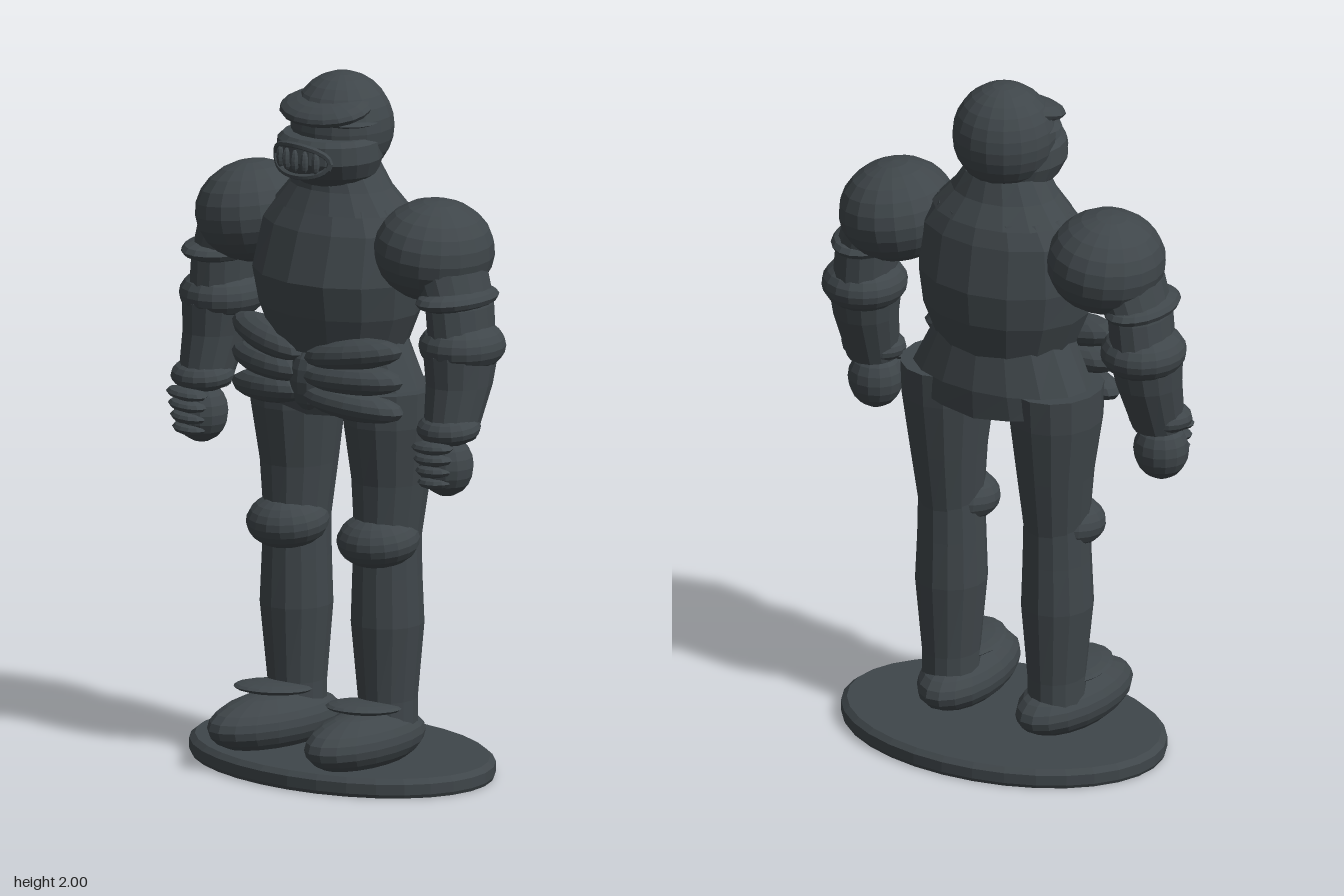
import * as THREE from 'three';

const material = new THREE.MeshStandardMaterial({ color: 0x3f464a, flatShading: true });

function add(parent, name, geometry, position = [0, 0, 0], rotation = [0, 0, 0]) {
  const mesh = new THREE.Mesh(geometry, material);
  mesh.name = name;
  mesh.position.set(...position);
  mesh.rotation.set(...rotation);
  parent.add(mesh);
  return mesh;
}

const ball = (rx, ry, rz, w = 18, h = 12) => new THREE.SphereGeometry(1, w, h).scale(rx, ry, rz);

// Closed body through elliptical rings, listed top to bottom as [y, centreX, centreZ, radiusX, radiusZ].
function loft(rings, sides) {
  const g = new THREE.CylinderGeometry(1, 1, 1, sides, rings.length - 1);
  const p = g.attributes.position;
  for (let i = 0; i < p.count; i++) {
    const [y, cx, cz, rx, rz] = rings[Math.round((0.5 - p.getY(i)) * (rings.length - 1))];
    p.setXYZ(i, cx + p.getX(i) * rx, y, cz + p.getZ(i) * rz);
  }
  g.computeVertexNormals();
  return g;
}

function buildTorso(root) {
  const torso = new THREE.Group();
  torso.name = 'torso';
  root.add(torso);
  add(torso, 'collar', loft([[1.74, 0, 0.01, 0.12, 0.11], [1.68, 0, 0.005, 0.16, 0.125], [1.62, 0, 0, 0.215, 0.16]], 16));
  add(torso, 'breastplate', loft([
    [1.635, 0, 0, 0.2, 0.15], [1.57, 0, 0.005, 0.25, 0.18], [1.43, 0, 0.015, 0.265, 0.215],
    [1.33, 0, 0.01, 0.25, 0.2], [1.22, 0, 0.01, 0.205, 0.165],
  ], 14));
  // Hip skirt whose hem dips at the middle
  const skirt = loft([[1.25, 0, 0, 0.21, 0.15], [1.12, 0, -0.01, 0.275, 0.165], [1.03, 0, -0.01, 0.295, 0.16]], 16);
  const p = skirt.attributes.position;
  for (let i = 0; i < p.count; i++) {
    if (p.getY(i) < 1.05) p.setY(i, 1.035 + 0.1 * Math.abs(p.getX(i)));
  }
  add(torso, 'hipSkirt', skirt);
  // Three overlapping hip plates on each side, meeting at the buckle
  for (const s of [1, -1]) {
    [[1.232, 0.16], [1.16, 0.04], [1.088, -0.08]].forEach(([y, tilt]) =>
      add(torso, 'hipPlate', ball(0.16, 0.045, 0.065, 16, 8), [s * 0.16, y, 0.13], [0, s * 0.22, s * tilt]));
  }
  add(torso, 'buckle', ball(0.06, 0.09, 0.05, 12, 8), [0, 1.135, 0.14]);
}

function buildHead(root) {
  const head = new THREE.Group();
  head.name = 'head';
  root.add(head);
  add(head, 'helmet', ball(0.147, 0.153, 0.145, 18, 14), [0, 1.847, 0]);
  add(head, 'visor', ball(0.148, 0.036, 0.11, 18, 10), [0, 1.91, 0.07], [0.25, 0, 0]);
  add(head, 'visorEdge', ball(0.152, 0.016, 0.1, 18, 6), [0, 1.876, 0.045]);
  add(head, 'jaw', loft([
    [1.835, 0, 0.055, 0.135, 0.125], [1.82, 0, 0.055, 0.15, 0.14], [1.77, 0, 0.055, 0.155, 0.145],
    [1.725, 0, 0.045, 0.135, 0.125], [1.695, 0, 0.035, 0.1, 0.095],
  ], 20));
  // Mouth grille wrapped around the jaw
  const onJaw = (a, y) => new THREE.Vector3(0.155 * Math.sin(a), y, 0.055 + 0.143 * Math.cos(a));
  const rim = [];
  for (let i = 0; i < 16; i++) {
    const t = i / 16 * Math.PI * 2;
    rim.push(onJaw(0.72 * Math.cos(t), 1.777 + 0.045 * Math.sin(t)));
  }
  add(head, 'grilleRim', new THREE.TubeGeometry(new THREE.CatmullRomCurve3(rim, true), 32, 0.009, 6, true));
  for (let i = -2; i <= 2; i++) {
    const a = i * 0.22;
    add(head, 'grilleBar', ball(0.012, 0.032, 0.014, 8, 8), onJaw(a, 1.777).toArray(), [0, a, 0]);
  }
}

function buildArm(root, s) {
  const arm = new THREE.Group();
  arm.name = s > 0 ? 'leftArm' : 'rightArm';
  root.add(arm);
  add(arm, 'shoulder', ball(0.165, 0.145, 0.178), [s * 0.34, 1.54, -0.01], [0, 0, s * -0.12]);
  add(arm, 'upperArm', loft([
    [1.5, s * 0.41, 0, 0.09, 0.12], [1.4, s * 0.445, 0, 0.082, 0.115], [1.28, s * 0.455, 0, 0.085, 0.11],
  ], 14));
  add(arm, 'armBand', ball(0.095, 0.036, 0.142, 18, 8), [s * 0.445, 1.42, 0.01], [0, 0, s * 0.05]);
  add(arm, 'elbow', ball(0.12, 0.078, 0.128), [s * 0.455, 1.285, 0]);
  add(arm, 'forearm', loft([
    [1.27, s * 0.458, 0.01, 0.1, 0.115], [1.18, s * 0.462, 0.02, 0.09, 0.1], [1.03, s * 0.466, 0.065, 0.072, 0.078],
  ], 14));
  add(arm, 'wristCuff', ball(0.094, 0.047, 0.088, 16, 10), [s * 0.467, 1.06, 0.07], [0.1, 0, 0]);
  add(arm, 'hand', ball(0.08, 0.088, 0.075, 14, 10), [s * 0.466, 0.954, 0.078]);
  for (let i = 0; i < 4; i++) {
    add(arm, 'finger', ball(0.07 - 0.005 * i, 0.019, 0.042, 12, 6),
      [s * 0.466, 1.015 - 0.034 * i, 0.138 - 0.004 * i], [0, 0, s * 0.05]);
  }
}

function buildLeg(root, s) {
  const leg = new THREE.Group();
  leg.name = s > 0 ? 'leftLeg' : 'rightLeg';
  root.add(leg);
  add(leg, 'thigh', loft([
    [1.12, s * 0.176, -0.01, 0.132, 0.145], [1.02, s * 0.176, -0.008, 0.13, 0.14],
    [0.85, s * 0.174, -0.01, 0.108, 0.115], [0.68, s * 0.172, 0, 0.09, 0.1],
  ], 14));
  add(leg, 'knee', ball(0.12, 0.078, 0.115), [s * 0.172, 0.682, 0.04], [0.12, 0, 0]);
  add(leg, 'shin', loft([
    [0.7, s * 0.172, 0, 0.092, 0.1], [0.58, s * 0.172, 0.002, 0.096, 0.102],
    [0.44, s * 0.173, 0.002, 0.102, 0.106], [0.22, s * 0.172, 0, 0.08, 0.09], [0.12, s * 0.172, 0, 0.08, 0.09],
  ], 14));
  // Flat plate over the instep
  add(leg, 'anklePlate', ball(0.1, 0.018, 0.122, 18, 8), [s * 0.172, 0.21, 0.1], [-0.1, s * 0.08, 0]);
  // Boot: long rounded shape, higher at the instep and flat below
  const boot = ball(0.114, 0.085, 0.237, 18, 12);
  const p = boot.attributes.position;
  for (let i = 0; i < p.count; i++) p.setY(i, Math.max(p.getY(i), -0.07));
  boot.computeVertexNormals();
  add(leg, 'boot', boot, [s * 0.172, 0.115, 0.095], [0, s * 0.08, 0]);
}

export function createModel() {
  const model = new THREE.Group();
  model.name = 'armouredFigure';
  add(model, 'base', loft([
    [0.054, 0, 0, 0.475, 0.327], [0.04, 0, 0, 0.492, 0.342], [0.01, 0, 0, 0.492, 0.342], [0, 0, 0, 0.487, 0.338],
  ], 32));
  buildTorso(model);
  buildHead(model);
  for (const s of [1, -1]) {
    buildArm(model, s);
    buildLeg(model, s);
  }
  return model;
}
